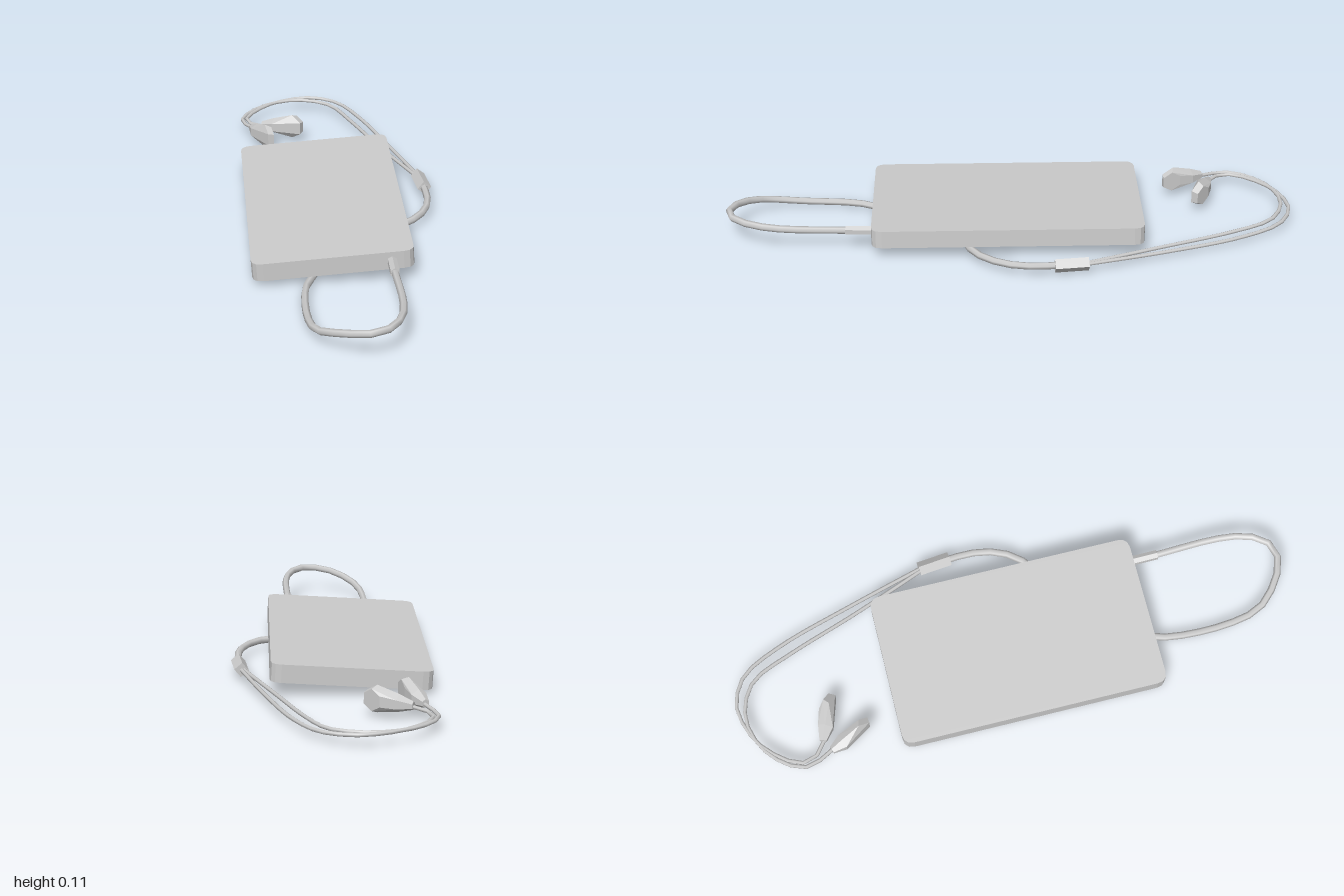
import * as THREE from 'three';
import { ConvexGeometry } from 'three/addons/geometries/ConvexGeometry.js';

const grey = new THREE.MeshStandardMaterial({ color: 0xcccccc, side: THREE.DoubleSide });
const flat = new THREE.MeshStandardMaterial({ color: 0xcccccc, flatShading: true });
const V = (p) => new THREE.Vector3(...p);

function add(group, name, geometry, material = flat) {
  const mesh = new THREE.Mesh(geometry, material);
  mesh.name = name;
  group.add(mesh);
  return mesh;
}

// Low-poly cord through a few points
function cord(group, name, points, radius, segments) {
  const curve = new THREE.CatmullRomCurve3(points.map(V), false, 'centripetal');
  return add(group, name, new THREE.TubeGeometry(curve, segments, radius, 6), grey);
}

// Straight sleeve between two points
function sleeve(group, name, a, b, radius, sides) {
  const from = V(a), to = V(b), dir = to.clone().sub(from);
  const mesh = add(group, name, new THREE.CylinderGeometry(radius, radius, dir.length(), sides));
  mesh.position.copy(from).add(to).multiplyScalar(0.5);
  mesh.quaternion.setFromUnitVectors(new THREE.Vector3(0, 1, 0), dir.normalize());
}

// Hexagon of points around a centre, facing along a normal
function ring(center, normal, radius) {
  const n = V(normal).normalize();
  const up = new THREE.Vector3(0, 1, 0), side = up.clone().cross(n).normalize();
  return Array.from({ length: 6 }, (_, i) => {
    const a = (i + 0.5) * Math.PI / 3;
    return V(center).addScaledVector(side, Math.cos(a) * radius)
      .addScaledVector(up, Math.sin(a) * radius);
  });
}

// Earbud: thin stem swelling into a head with an angled speaker face
function earbud(group, name, tip, head, face, normal) {
  const axis = V(head).sub(V(tip));
  const mid = V(tip).addScaledVector(axis, 0.4);
  const bud = [
    ...ring(tip, axis.toArray(), 0.014),
    ...ring(mid.toArray(), axis.toArray(), 0.03),
    ...ring(head, normal, 0.046),
    ...ring(face, normal, 0.037),
  ];
  add(group, name, new ConvexGeometry(bud));
}

export function createModel() {
  const model = new THREE.Group();
  model.name = 'playerWithEarphones';

  // Flat body with rounded corners, leaning slightly to one side
  const w = 0.27, h = 0.47, r = 0.037, t = 0.063;
  const outline = new THREE.Shape();
  outline.moveTo(-w + r, -h);
  outline.lineTo(w - r, -h);
  outline.quadraticCurveTo(w, -h, w, -h + r);
  outline.lineTo(w, h - r);
  outline.quadraticCurveTo(w, h, w - r, h);
  outline.lineTo(-w + r, h);
  outline.quadraticCurveTo(-w, h, -w, h - r);
  outline.lineTo(-w, -h + r);
  outline.quadraticCurveTo(-w, -h, -w + r, -h);
  const slab = new THREE.ExtrudeGeometry(outline, { depth: t, bevelEnabled: false, curveSegments: 3 });
  slab.translate(0, 0, -t / 2).rotateX(-Math.PI / 2).rotateZ(0.063);
  add(model, 'body', slab).position.set(-0.065, 0.0685, 0.01);

  // Plug and the thick cord that loops out front and back under the body
  sleeve(model, 'plug', [0.128, 0.079, 0.46], [0.128, 0.082, 0.57], 0.017, 6);
  cord(model, 'mainCord', [
    [0.128, 0.081, 0.55], [0.13, 0.092, 0.8], [0.11, 0.099, 0.9], [0.07, 0.101, 0.96],
    [0.025, 0.098, 0.98], [-0.04, 0.09, 0.965], [-0.11, 0.07, 0.915], [-0.15, 0.05, 0.86],
    [-0.17, 0.029, 0.73], [-0.162, 0.022, 0.54], [-0.14, 0.018, 0.47], [-0.08, 0.015, 0.33],
    [-0.01, 0.02, 0.225], [0.1, 0.03, 0.17], [0.21, 0.038, 0.13], [0.27, 0.04, 0.07],
    [0.305, 0.04, -0.01], [0.313, 0.04, -0.09], [0.307, 0.04, -0.18],
  ], 0.0125, 32);

  // Splitter and the two thin wires
  sleeve(model, 'splitter', [0.312, 0.039, -0.145], [0.3, 0.039, -0.26], 0.025, 4);
  cord(model, 'outerWire', [
    [0.305, 0.038, -0.24], [0.22, 0.034, -0.54], [0.14, 0.036, -0.79], [0.065, 0.042, -0.935],
    [0, 0.045, -0.98], [-0.07, 0.046, -0.992], [-0.19, 0.045, -0.95], [-0.265, 0.043, -0.88],
    [-0.3, 0.042, -0.82], [-0.295, 0.043, -0.77], [-0.245, 0.048, -0.725],
  ], 0.007, 24);
  cord(model, 'innerWire', [
    [0.298, 0.038, -0.24], [0.19, 0.034, -0.52], [0.1, 0.036, -0.77], [0.035, 0.042, -0.91],
    [-0.03, 0.045, -0.955], [-0.11, 0.046, -0.97], [-0.21, 0.045, -0.94], [-0.285, 0.043, -0.875],
    [-0.318, 0.042, -0.81], [-0.31, 0.044, -0.76], [-0.283, 0.05, -0.705],
  ], 0.007, 24);

  // Earbuds
  earbud(model, 'earbudFront', [-0.285, 0.053, -0.705], [-0.24, 0.063, -0.597],
    [-0.216, 0.063, -0.592], [0.95, 0, -0.25]);
  earbud(model, 'earbudBack', [-0.245, 0.053, -0.727], [-0.133, 0.063, -0.678],
    [-0.114, 0.063, -0.694], [0.68, 0, -0.73]);

  return model;
}
